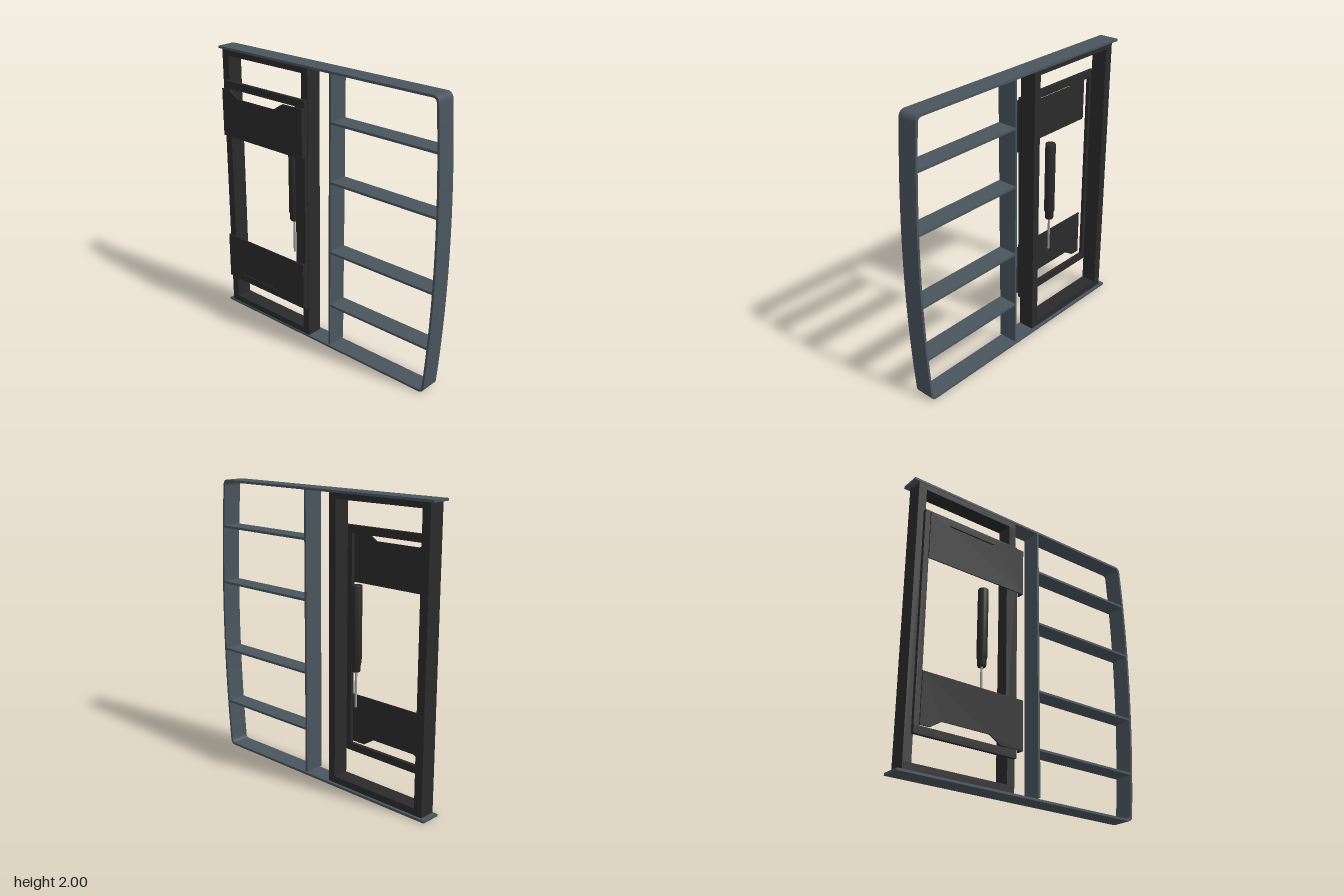
import * as THREE from 'three';
import { toCreasedNormals } from 'three/addons/utils/BufferGeometryUtils.js';

const mat = (color) => new THREE.MeshStandardMaterial({ color });
const slate = mat(0x4a555d), dark = mat(0x2a2a2a), steel = mat(0x999999);
const X0 = -0.04, X1 = 0.1; // width of the sheet metal shell

export function createModel() {
  const model = new THREE.Group();

  const add = (name, geometry, material, parent = model) => {
    const mesh = new THREE.Mesh(geometry, material);
    mesh.name = name;
    parent.add(mesh);
    return mesh;
  };
  const group = (name) => {
    const g = new THREE.Group();
    g.name = name;
    model.add(g);
    return g;
  };
  // Box given by its limits on each axis
  const box = (name, [xa, xb], [ya, yb], [za, zb], material, parent) => {
    const mesh = add(name, new THREE.BoxGeometry(xb - xa, yb - ya, Math.abs(zb - za)), material, parent);
    mesh.position.set((xa + xb) / 2, (ya + yb) / 2, (za + zb) / 2);
    return mesh;
  };
  // Side outline (z, y) extruded across x
  const sidePlate = (shape, xa, xb) => {
    const g = new THREE.ExtrudeGeometry(shape, { depth: xb - xa, bevelEnabled: false });
    g.rotateY(-Math.PI / 2).translate(xb, 0, 0);
    return toCreasedNormals(g, 0.5);
  };
  // Rectangular frame with its own bar widths
  const frame = (name, xs, [ya, yb], [za, zb], bars) => {
    const g = group(name);
    box(name + 'BottomRail', xs, [ya, ya + bars.bottom], [za, zb], dark, g);
    box(name + 'TopRail', xs, [yb - bars.top, yb], [za, zb], dark, g);
    const ys = [ya + bars.bottom, yb - bars.top];
    box(name + 'FrontPost', xs, ys, [zb - bars.front, zb], dark, g);
    box(name + 'BackPost', xs, ys, [za, za + bars.back], dark, g);
  };

  // Bent sheet shell: bottom, bowed front, top; open at the back
  const bend = (t) => {
    const p = new THREE.Path();
    const z = 0.912 - t;
    p.moveTo(-0.955, t);
    p.lineTo(0.865, t);
    p.quadraticCurveTo(z, t, z, 0.055);
    p.quadraticCurveTo(0.996 - t, 1, z, 1.945);
    p.quadraticCurveTo(z, 2 - t, 0.865, 2 - t);
    p.lineTo(-0.955, 2 - t);
    return p.getPoints(20);
  };
  const shell = new THREE.Shape([...bend(0), ...bend(0.016).reverse()]);
  add('shell', sidePlate(shell, X0, X1), slate);

  // Divider and shelves
  box('divider', [X0, X1], [0.025, 1.985], [0.078, 0.094], slate);
  for (const y of [0.343, 0.75, 1.257, 1.665]) {
    const front = 0.945 - 0.045 * (y - 1) ** 2;
    box('shelf', [X0, X1], [y - 0.008, y + 0.008], [0.086, front], slate);
  }

  // Main carrier frame and the thinner mounting frame beside it
  frame('carrierFrame', [-0.035, 0.08], [0.016, 1.985], [-0.92, -0.113],
    { bottom: 0.047, top: 0.042, front: 0.056, back: 0.06 });
  frame('mountingFrame', [-0.06, -0.035], [0.235, 1.773], [-0.875, -0.118],
    { bottom: 0.052, top: 0.052, front: 0.088, back: 0.04 });

  // Folded brackets, mirrored top and bottom
  const outline = new THREE.Shape([
    [-0.1, 1.39], [-0.1, 1.73], [-0.275, 1.73], [-0.36, 1.677],
    [-0.705, 1.677], [-0.79, 1.73], [-0.86, 1.73], [-0.86, 1.39],
  ].map(([z, y]) => new THREE.Vector2(z, y)));
  const mirrored = new THREE.Shape(outline.getPoints().map((p) => new THREE.Vector2(p.x, 2.005 - p.y)));
  for (const [name, shape, ys] of [
    ['upperBracket', outline, [1.39, 1.73]],
    ['lowerBracket', mirrored, [0.275, 0.615]],
  ]) {
    const g = group(name);
    add(name + 'Plate', sidePlate(shape, -0.105, -0.097), dark, g);
    box(name + 'Flange', [-0.097, -0.055], ys, [-0.11, -0.1], dark, g);
  }

  // Gas strut: body with stepped collar, and its rod
  const strut = group('gasStrut');
  strut.position.set(0.045, 0, -0.325);
  const profile = [[0, 0.84], [0.026, 0.84], [0.03, 0.85], [0.03, 0.89], [0.036, 0.905],
    [0.036, 1.405], [0.033, 1.412], [0, 1.412]].map(([r, y]) => new THREE.Vector2(r, y));
  add('strutBody', toCreasedNormals(new THREE.LatheGeometry(profile, 32), 0.5), dark, strut);
  const rod = add('strutRod', new THREE.CylinderGeometry(0.008, 0.008, 0.25, 16), steel, strut);
  rod.position.y = 0.72;

  return model;
}
